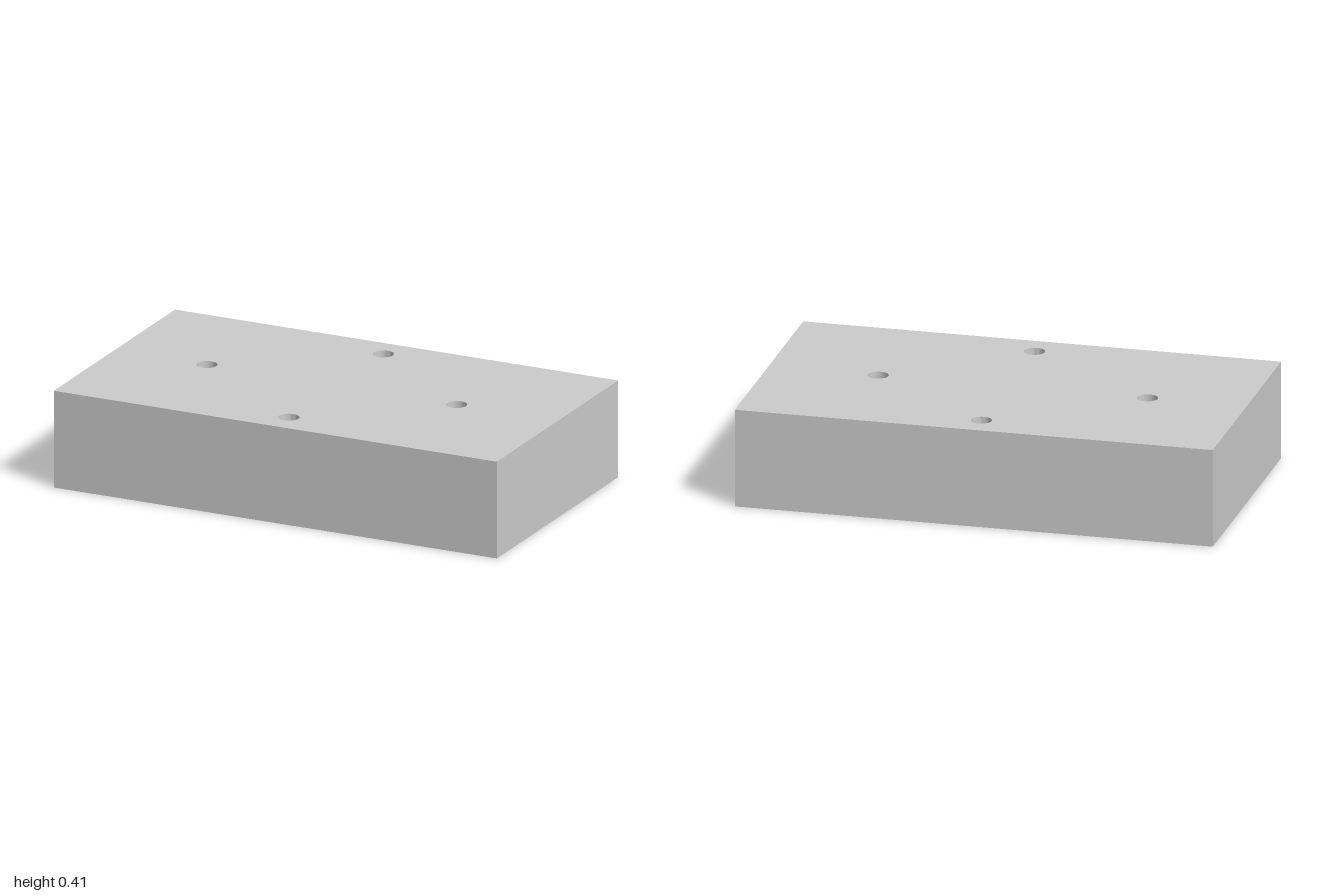
import * as THREE from 'three';
import { toCreasedNormals } from 'three/addons/utils/BufferGeometryUtils.js';

const WIDTH = 2, HEIGHT = 0.415, DEPTH = 1.12;
const HOLE_RADIUS = 0.043, SEGMENTS = 32;
const BLIND_DEPTH = 0.3;

// hole centres as [x, z]
const throughHoles = [[-0.585, -0.005], [0, -0.437], [0, 0.435]];
const blindHole = [0.542, -0.005];

export function createModel() {
  const model = new THREE.Group();
  model.name = 'drilledBlock';
  const material = new THREE.MeshStandardMaterial({ color: 0xcccccc });

  // rectangular plan with four drilled holes, extruded upward
  const w = WIDTH / 2, d = DEPTH / 2;
  const plan = new THREE.Shape([
    new THREE.Vector2(-w, -d), new THREE.Vector2(w, -d),
    new THREE.Vector2(w, d), new THREE.Vector2(-w, d),
  ]);
  for (const [x, z] of [...throughHoles, blindHole]) {
    plan.holes.push(new THREE.Path().absarc(x, -z, HOLE_RADIUS, 0, Math.PI * 2, true));
  }
  const blockGeometry = new THREE.ExtrudeGeometry(plan, {
    depth: HEIGHT, bevelEnabled: false, curveSegments: SEGMENTS,
  });
  blockGeometry.rotateX(-Math.PI / 2);
  const block = new THREE.Mesh(toCreasedNormals(blockGeometry, 0.6), material);
  block.name = 'block';
  model.add(block);

  // solid floor closing the one hole that does not go through
  const floorHeight = HEIGHT - BLIND_DEPTH;
  const floor = new THREE.Mesh(
    new THREE.CylinderGeometry(HOLE_RADIUS, HOLE_RADIUS, floorHeight, SEGMENTS), material);
  floor.name = 'blindHoleFloor';
  floor.position.set(blindHole[0], floorHeight / 2, blindHole[1]);
  model.add(floor);

  return model;
}
